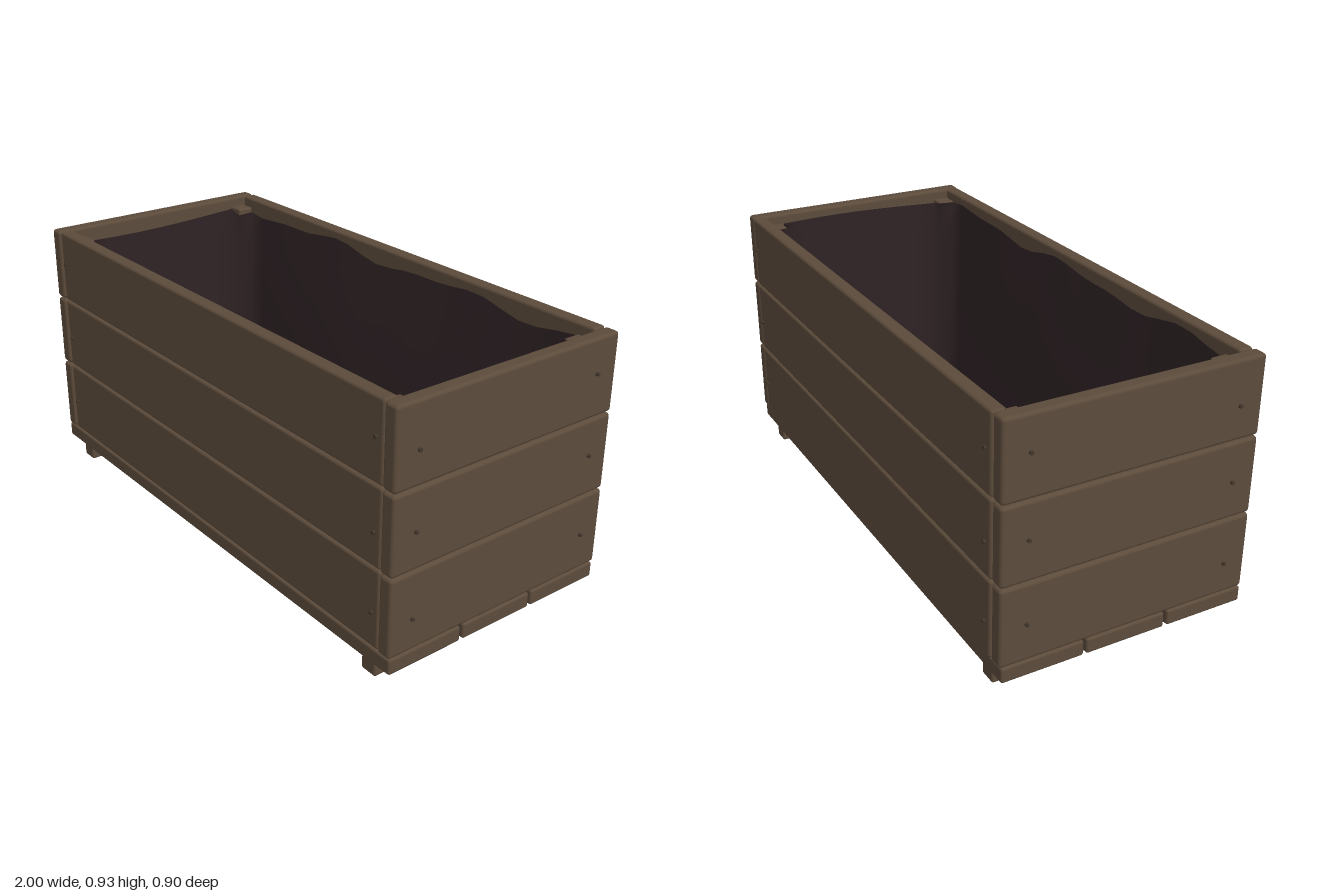
import * as THREE from 'three';
import { RoundedBoxGeometry } from 'three/addons/geometries/RoundedBoxGeometry.js';

export function createModel() {
  const model = new THREE.Group();
  model.name = 'planter';
  const wood = new THREE.MeshStandardMaterial({ color: 0x5c4b3b });
  wood.name = 'wood';
  const fabric = new THREE.MeshStandardMaterial({ color: 0x2e2224, side: THREE.DoubleSide });
  fabric.name = 'liner fabric';
  const metal = new THREE.MeshStandardMaterial({ color: 0x43372c });
  metal.name = 'screw metal';

  const add = (name, geometry, material) => {
    const mesh = new THREE.Mesh(geometry, material);
    mesh.name = name;
    model.add(mesh);
    return mesh;
  };
  // Rounded timber given by its minimum and maximum on each axis
  const timber = (name, x0, x1, y0, y1, z0, z1, r = 0.01) =>
    add(name, new RoundedBoxGeometry(x1 - x0, y1 - y0, z1 - z0, 2, r), wood)
      .position.set((x0 + x1) / 2, (y0 + y1) / 2, (z0 + z1) / 2);

  // Three rows of wall boards
  const rows = [[0.118, 0.388], [0.393, 0.658], [0.663, 0.93]];
  for (const [y0, y1] of rows) {
    timber('frontBoard', -0.933, 0.933, y0, y1, 0.39, 0.44);
    timber('backBoard', -0.933, 0.933, y0, y1, -0.445, -0.395);
    timber('leftEndBoard', 0.937, 0.99, y0, y1, -0.443, 0.445, 0.012);
    timber('rightEndBoard', -0.99, -0.937, y0, y1, -0.443, 0.445, 0.012);
  }

  // Floor boards with gaps between them
  for (const [z0, z1] of [[-0.436, -0.15], [-0.14, 0.145], [0.157, 0.442]])
    timber('floorBoard', -0.99, 0.99, 0.062, 0.116, z0, z1, 0.008);

  // Cross runners underneath and corner posts inside
  for (const s of [-1, 1]) {
    timber('footRunner', s * 0.877 - 0.032, s * 0.877 + 0.032, 0, 0.062, -0.42, 0.425, 0.008);
    for (const t of [-1, 1])
      timber('cornerPost', s * 0.903 - 0.031, s * 0.903 + 0.031, 0.116, 0.895,
        t * 0.362 - 0.031, t * 0.362 + 0.031, 0.006);
  }

  // Screw heads on all four walls
  const screwGeometry = new THREE.CylinderGeometry(0.006, 0.007, 0.014, 8);
  const screw = (x, y, z, alongX) => {
    const mesh = add('screw', screwGeometry, metal);
    mesh.position.set(x, y, z);
    if (alongX) mesh.rotation.z = -Math.sign(x) * Math.PI / 2;
    else mesh.rotation.x = Math.sign(z) * Math.PI / 2;
  };
  const frontHeights = [0.24, 0.51, 0.81];
  const endHeights = [[0.23, 0.25], [0.522, 0.535], [0.78, 0.812]];
  for (const s of [-1, 1]) {
    for (const y of frontHeights)
      for (const t of [-1, 1]) screw(s * 0.905, y, t > 0 ? 0.441 : -0.446, false);
    for (const [ya, yb] of endHeights) {
      screw(s * 0.992, ya, 0.36, true);
      screw(s * 0.992, yb, -0.355, true);
    }
  }

  // Liner outline, stepping round the posts
  const corners = [
    [0.925, -0.326], [0.925, 0.326], [0.867, 0.326], [0.867, 0.386],
    [-0.867, 0.386], [-0.867, 0.326], [-0.925, 0.326], [-0.925, -0.326],
    [-0.867, -0.326], [-0.867, -0.386], [0.867, -0.386], [0.867, -0.326],
  ];
  const outline = [];
  corners.forEach(([x0, z0], i) => {
    const [x1, z1] = corners[(i + 1) % corners.length];
    const n = Math.max(1, Math.round(Math.hypot(x1 - x0, z1 - z0) / 0.08));
    for (let k = 0; k < n; k++)
      outline.push([x0 + (x1 - x0) * k / n, z0 + (z1 - z0) * k / n]);
  });

  // Liner walls: rings from the wavy rim down, bowing inward toward the floor
  const count = outline.length, levels = 7, floorY = 0.14;
  const linerPoint = ([x, z], t) => {
    const top = 0.885 + 0.014 * Math.sin(x * 9 + z * 4) + 0.008 * Math.sin(x * 17);
    const sag = Math.sin(t * Math.PI / 2);
    const bowZ = Math.abs(z) > 0.38 ? 0.015 + 0.04 * Math.cos(x * Math.PI / 1.74) : 0.01;
    const bowX = Math.abs(x) > 0.92 ? 0.012 + 0.012 * Math.cos(z * Math.PI / 0.66) : 0.01;
    return [x - Math.sign(x) * bowX * sag, top + (floorY - top) * t, z - Math.sign(z) * bowZ * sag];
  };
  const positions = [], index = [];
  for (let j = 0; j <= levels; j++)
    for (const p of outline) positions.push(...linerPoint(p, j / levels));
  for (let j = 0; j < levels; j++)
    for (let i = 0; i < count; i++) {
      const a = j * count + i, b = j * count + (i + 1) % count;
      index.push(a, b, a + count, b, b + count, a + count);
    }
  const walls = new THREE.BufferGeometry();
  walls.setAttribute('position', new THREE.Float32BufferAttribute(positions, 3));
  walls.setIndex(index);
  walls.computeVertexNormals();
  add('linerWalls', walls, fabric);

  // Liner floor
  const floorShape = new THREE.Shape(outline.map((p) => {
    const [x, , z] = linerPoint(p, 1);
    return new THREE.Vector2(x, -z);
  }));
  const floor = new THREE.ShapeGeometry(floorShape);
  floor.rotateX(-Math.PI / 2);
  add('linerFloor', floor, fabric).position.y = floorY;

  return model;
}
